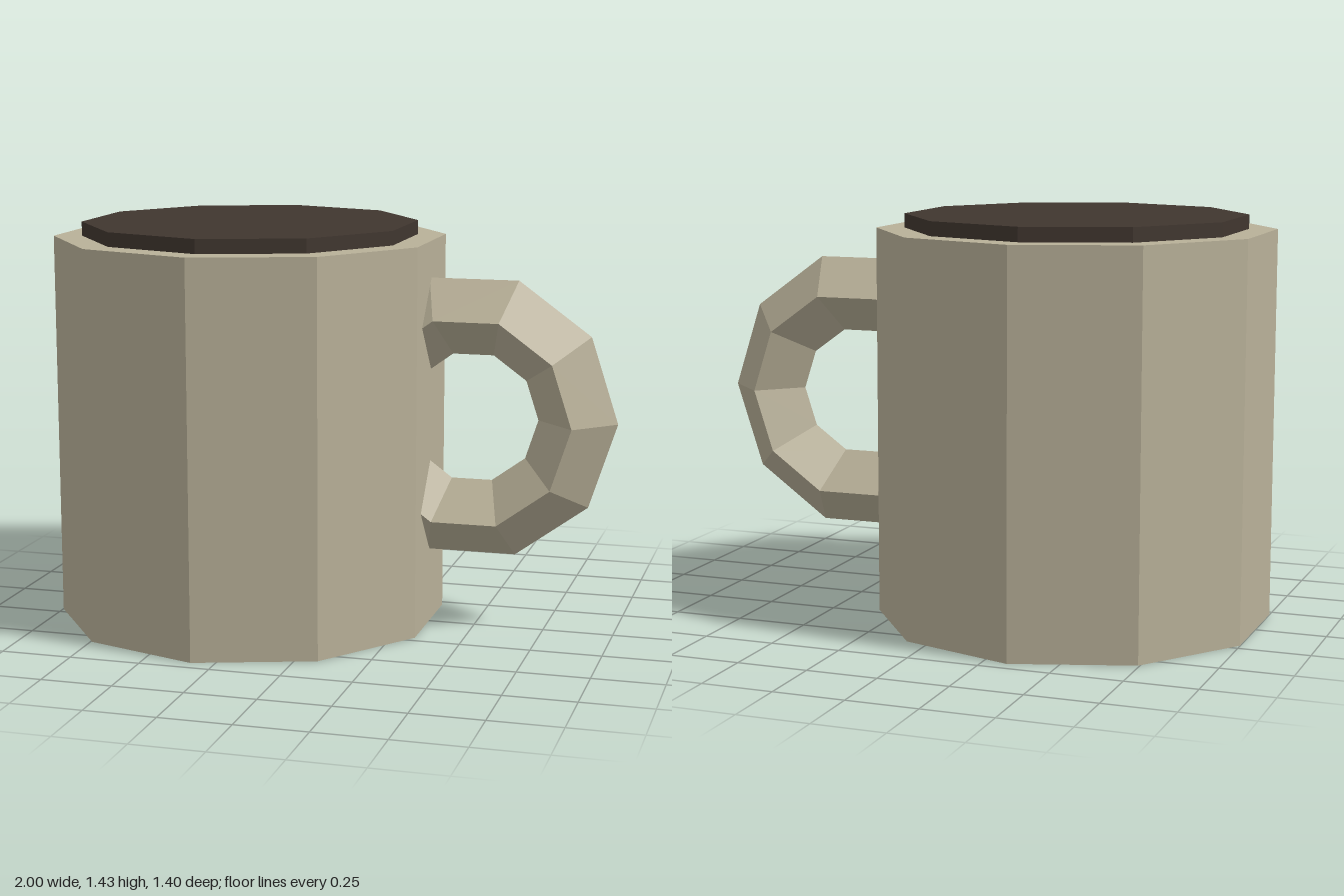
import * as THREE from 'three';

export function createModel() {
  const model = new THREE.Group();
  const clay = new THREE.MeshStandardMaterial({ name: 'clay beige', color: 0xb8b098, flatShading: true });
  const coffee = new THREE.MeshStandardMaterial({ name: 'coffee brown', color: 0x40362f, flatShading: true });

  const SIDES = 10;
  const CUP_X = -0.333;
  const CUP_HEIGHT = 1.38;

  const add = (name, geometry, material, x, y) => {
    const mesh = new THREE.Mesh(geometry, material);
    mesh.name = name;
    mesh.position.set(x, y, 0);
    model.add(mesh);
    return mesh;
  };

  // Ten-sided mug body
  add('cupBody', new THREE.CylinderGeometry(0.7, 0.7, CUP_HEIGHT, SIDES), clay, CUP_X, CUP_HEIGHT / 2);

  // Drink: a slab sunk a little into the body, rising 0.05 above it
  add('drink', new THREE.CylinderGeometry(0.6, 0.6, 0.1, SIDES), coffee, CUP_X, CUP_HEIGHT);

  // Handle: eight of ten ring segments with a diamond section, ends buried in the body
  const step = (Math.PI * 2) / SIDES;
  const handle = add('handle', new THREE.TorusGeometry(0.375, 0.14, 4, 8, step * 8), clay, 0.485, 0.76);
  handle.rotation.z = -step * 4;

  return model;
}
